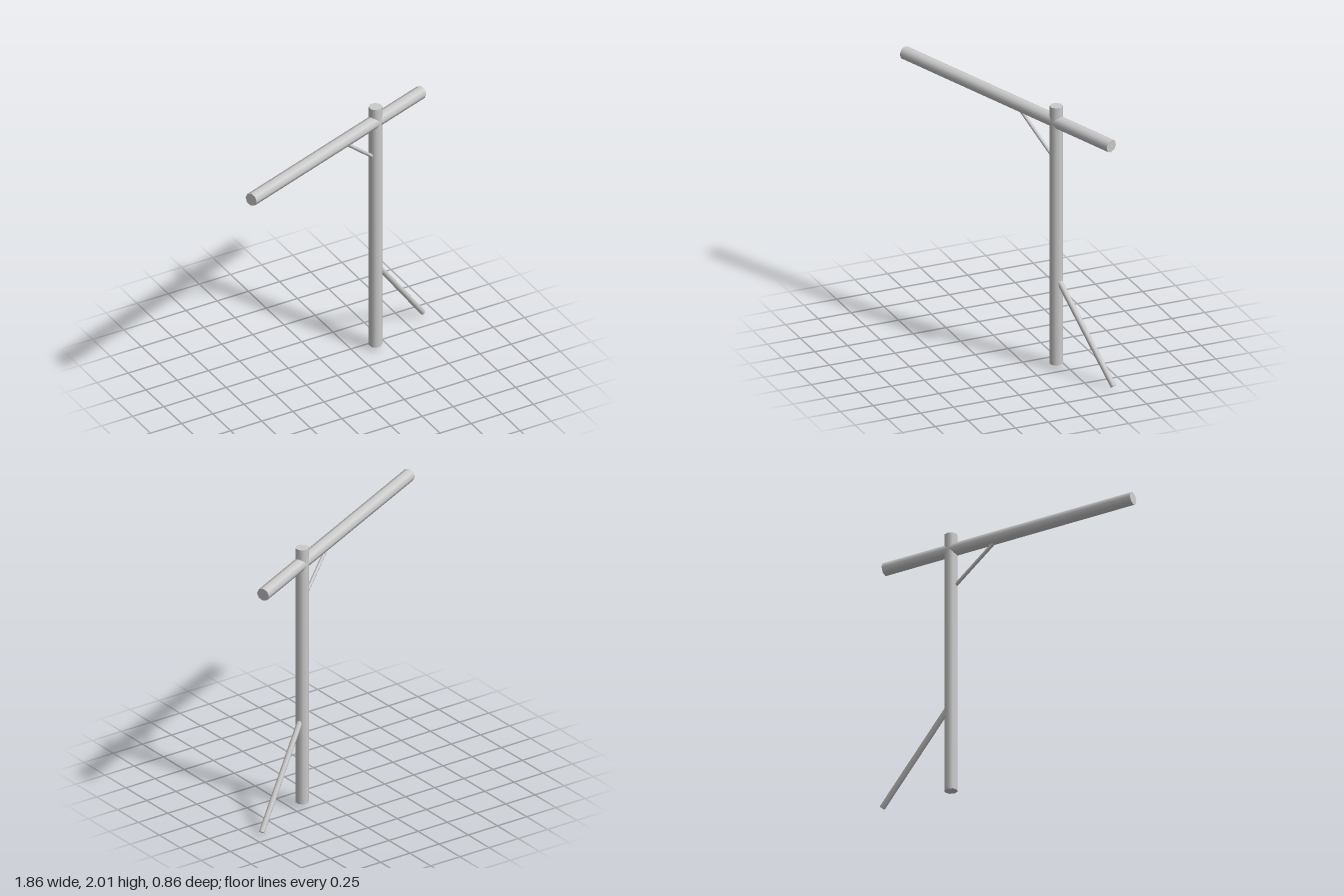
import * as THREE from 'three';

const material = new THREE.MeshStandardMaterial({ color: 0xcccccc });
const UP = new THREE.Vector3(0, 1, 0);

// Round pole with capped ends running between two points
function pole(name, from, to, radius, sides) {
  const a = new THREE.Vector3(...from);
  const b = new THREE.Vector3(...to);
  const axis = b.clone().sub(a);
  const geometry = new THREE.CylinderGeometry(radius, radius, axis.length(), sides);
  geometry.rotateY(Math.PI / sides);
  const mesh = new THREE.Mesh(geometry, material);
  mesh.name = name;
  mesh.position.copy(a).add(b).multiplyScalar(0.5);
  mesh.quaternion.setFromUnitVectors(UP, axis.normalize());
  return mesh;
}

export function createModel() {
  const group = new THREE.Group();
  group.name = 'postWithBeam';

  // Upright post and the sloping beam that crosses its top
  group.add(pole('post', [0.41, 0.025, -0.185], [0.41, 1.99, -0.185], 0.048, 8));
  group.add(pole('beam', [-0.912, 1.957, 0.383], [0.892, 1.842, -0.39], 0.048, 8));

  // Thin strut from the post up to the underside of the long arm
  group.add(pole('upperStrut', [0.385, 1.59, -0.174], [0.08, 1.874, -0.043], 0.013, 8));

  // Thicker brace leaning from the ground against the post
  group.add(pole('groundBrace', [0.43, 0.667, -0.194], [0.91, 0.013, -0.399], 0.021, 8));

  return group;
}
